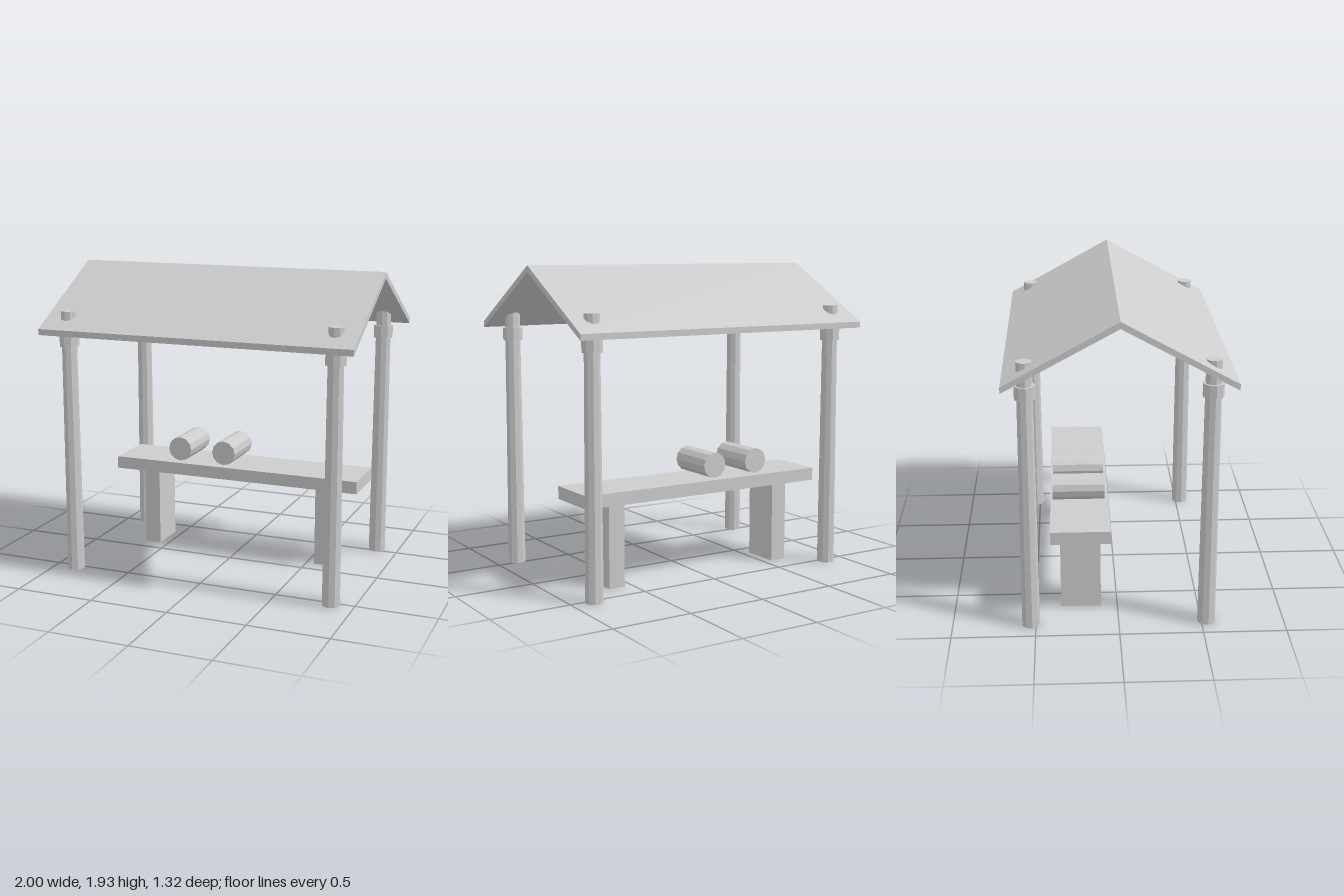
import * as THREE from 'three';

export function createModel() {
  const model = new THREE.Group();
  model.name = 'shelter';
  const grey = new THREE.MeshStandardMaterial({ color: 0xcccccc, flatShading: true });
  grey.name = 'light grey';

  const add = (name, geometry, x, y, z, parent = model) => {
    const mesh = new THREE.Mesh(geometry, grey);
    mesh.name = name;
    mesh.position.set(x, y, z);
    parent.add(mesh);
    return mesh;
  };

  // Corner posts, each with a collar under the roof and a tip poking through it
  const postGeometry = new THREE.CylinderGeometry(0.047, 0.055, 1.67, 9);
  const collarGeometry = new THREE.CylinderGeometry(0.062, 0.062, 0.08, 9);
  for (const x of [-0.86, 0.86]) {
    for (const z of [-0.53, 0.53]) {
      const post = new THREE.Group();
      post.name = 'cornerPost';
      post.position.set(x, 0, z);
      add('post', postGeometry, 0, 0.835, 0, post);
      add('collar', collarGeometry, 0, 1.49, 0, post);
      model.add(post);
    }
  }

  // Gable roof: a thin chevron swept along x
  const chevron = new THREE.Shape([
    [-0.66, 1.53], [0, 1.89], [0.66, 1.53], [0.66, 1.567], [0, 1.93], [-0.66, 1.567],
  ].map(([z, y]) => new THREE.Vector2(z, y)));
  const roof = new THREE.ExtrudeGeometry(chevron, { depth: 2, bevelEnabled: false });
  roof.translate(0, 0, -1).rotateY(Math.PI / 2);
  add('roof', roof, 0, 0, 0);

  // Bench: plank on two slab legs
  const bench = new THREE.Group();
  bench.name = 'bench';
  bench.position.z = -0.225;
  model.add(bench);
  add('benchTop', new THREE.BoxGeometry(1.68, 0.08, 0.36), 0, 0.56, 0, bench);
  for (const x of [-0.608, 0.605]) {
    add('benchLeg', new THREE.BoxGeometry(0.106, 0.52, 0.246), x, 0.26, 0, bench);
  }

  // Two rolls lying above the bench, just clear of it
  const roll = new THREE.CylinderGeometry(0.08, 0.08, 0.32, 12).rotateX(Math.PI / 2);
  for (const x of [-0.385, -0.075]) add('roll', roll, x, 0.69, -0.23);

  return model;
}
